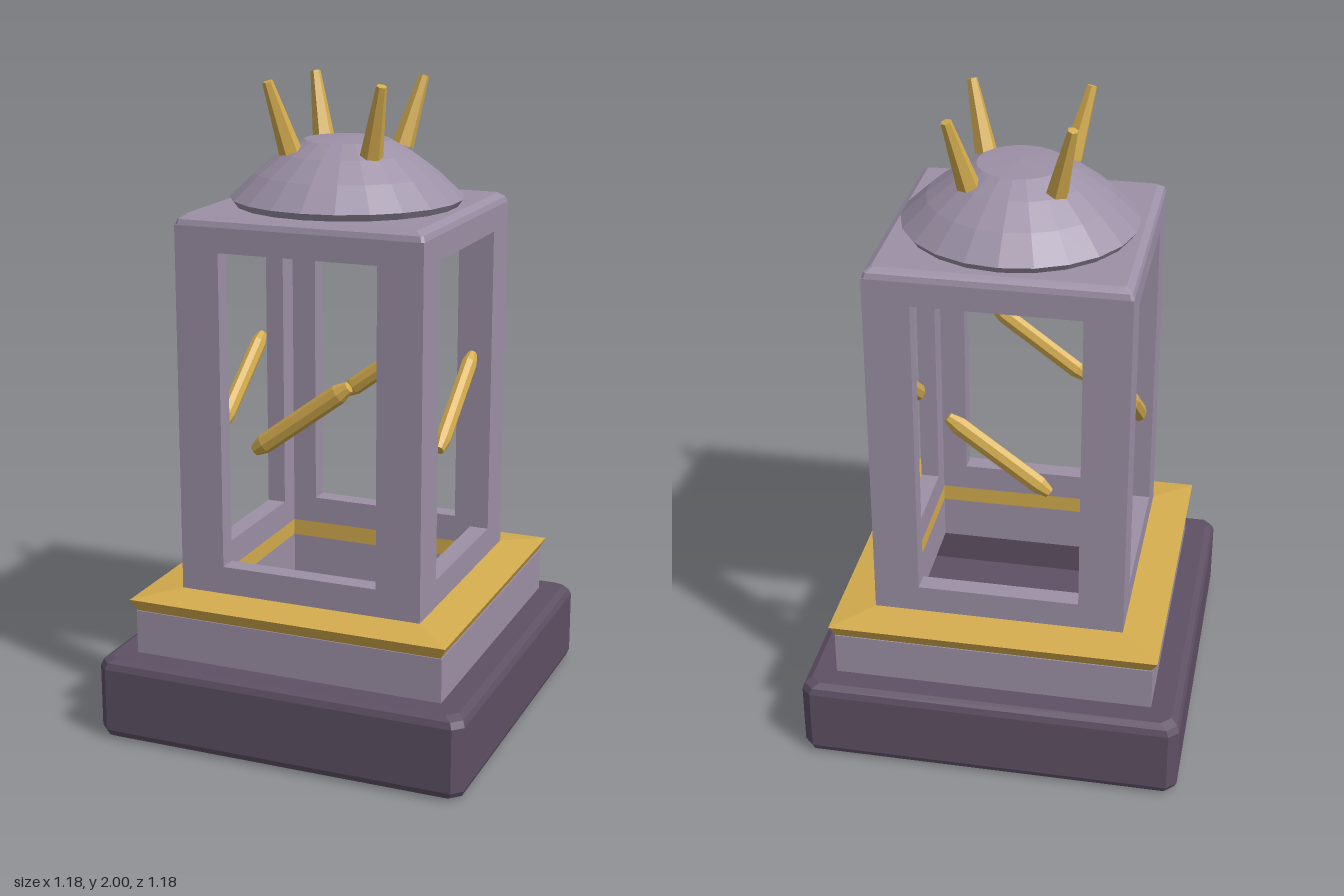
import * as THREE from 'three';

const mat = (name, color) => {
  const m = new THREE.MeshStandardMaterial({ color, flatShading: true });
  m.name = name;
  return m;
};

// Sweeps a profile of [halfWidth, y] around a square with chamfered corners.
function squareLoft(profile, chamfer = 0) {
  const pos = [];
  const ring = ([h, y]) => {
    const k = Math.max(h - chamfer, 0);
    return [[h, k], [k, h], [-k, h], [-h, k], [-h, -k], [-k, -h], [k, -h], [h, -k]]
      .map(([x, z]) => [x, y, z]);
  };
  for (let j = 0; j < profile.length - 1; j++) {
    const a = ring(profile[j]), b = ring(profile[j + 1]);
    for (let i = 0; i < 8; i++) {
      const n = (i + 1) % 8;
      pos.push(...a[i], ...b[i], ...a[n], ...a[n], ...b[i], ...b[n]);
    }
  }
  const g = new THREE.BufferGeometry();
  g.setAttribute('position', new THREE.Float32BufferAttribute(pos, 3));
  g.computeVertexNormals();
  return g;
}

// Wall panel with a tall window opening.
function windowWall(halfWidth, thickness) {
  const rect = (P, w, y0, y1) => {
    const p = new P();
    p.moveTo(-w, y0);
    p.lineTo(w, y0);
    p.lineTo(w, y1);
    p.lineTo(-w, y1);
    p.closePath();
    return p;
  };
  const s = rect(THREE.Shape, halfWidth, 0.45, 1.59);
  s.holes.push(rect(THREE.Path, 0.25, 0.54, 1.515));
  return new THREE.ExtrudeGeometry(s, { depth: thickness, bevelEnabled: false });
}

const lathe = (pts, n) => new THREE.LatheGeometry(pts.map(p => new THREE.Vector2(...p)), n);

export function createModel() {
  const root = new THREE.Group();
  const stone = mat('lavender stone', 0x9c90a6);
  const dark = mat('dark plum stone', 0x5e5064);
  const gold = mat('gold', 0xd4ac4e);
  const add = (name, geo, m) => {
    const mesh = new THREE.Mesh(geo, m);
    mesh.name = name;
    root.add(mesh);
    return mesh;
  };

  // Hollow base with softened edges
  add('base', squareLoft([[0, 0], [0.565, 0], [0.585, 0.012], [0.592, 0.03], [0.592, 0.23],
    [0.585, 0.25], [0.565, 0.262], [0.49, 0.262], [0.49, 0.04], [0, 0.04]], 0.03), dark);

  // Plinth and flared gold trim
  add('plinth', squareLoft([[0.497, 0.255], [0.497, 0.4], [0.33, 0.4], [0.33, 0.255], [0.497, 0.255]]), stone);
  add('trim', squareLoft([[0.33, 0.398], [0.492, 0.398], [0.512, 0.438], [0.39, 0.453],
    [0.33, 0.453], [0.33, 0.398]]), gold);

  // Four window walls
  const t = 0.06;
  for (let i = 0; i < 4; i++) {
    const wall = add('windowWall', windowWall(i % 2 ? 0.33 : 0.39, t), stone);
    wall.geometry.translate(0, 0, 0.39 - t);
    wall.rotation.y = i * Math.PI / 2;
  }

  // Roof slab and faceted dome
  add('roof', squareLoft([[0, 1.59], [0.39, 1.59], [0.385, 1.607], [0.365, 1.621], [0, 1.621]], 0.008), stone);
  add('dome', lathe([[0, 1.618], [0.34, 1.618], [0.357, 1.642], [0.28, 1.715], [0.2, 1.775],
    [0.13, 1.815], [0, 1.822]], 22), stone);

  // Leaning spikes on the dome
  const up = new THREE.Vector3(0, 1, 0);
  for (const sx of [-1, 1]) for (const sz of [-1, 1]) {
    const a = new THREE.Vector3(sx * 0.13, 1.785, sz * 0.13);
    const b = new THREE.Vector3(sx * 0.18, 1.995, sz * 0.18);
    const dir = b.clone().sub(a);
    const spike = add('spike', new THREE.CylinderGeometry(0.016, 0.035, dir.length(), 6), gold);
    spike.position.copy(a).add(b).multiplyScalar(0.5);
    spike.quaternion.setFromUnitVectors(up, dir.normalize());
  }

  // Slanted gold bars floating in the windows
  const bar = lathe([[0, -0.193], [0.018, -0.19], [0.03, -0.15], [0.03, 0.15], [0.018, 0.19], [0, 0.193]], 8);
  bar.scale(1, 1, 0.8);
  bar.rotateZ(-0.93);
  for (const turn of [0, Math.PI / 2]) for (const side of [-1, 1]) {
    const m = add('windowBar', bar, gold);
    m.rotation.y = turn;
    m.position.set(turn ? side * 0.36 : 0, 1.03, turn ? 0 : side * 0.36);
  }
  return root;
}
